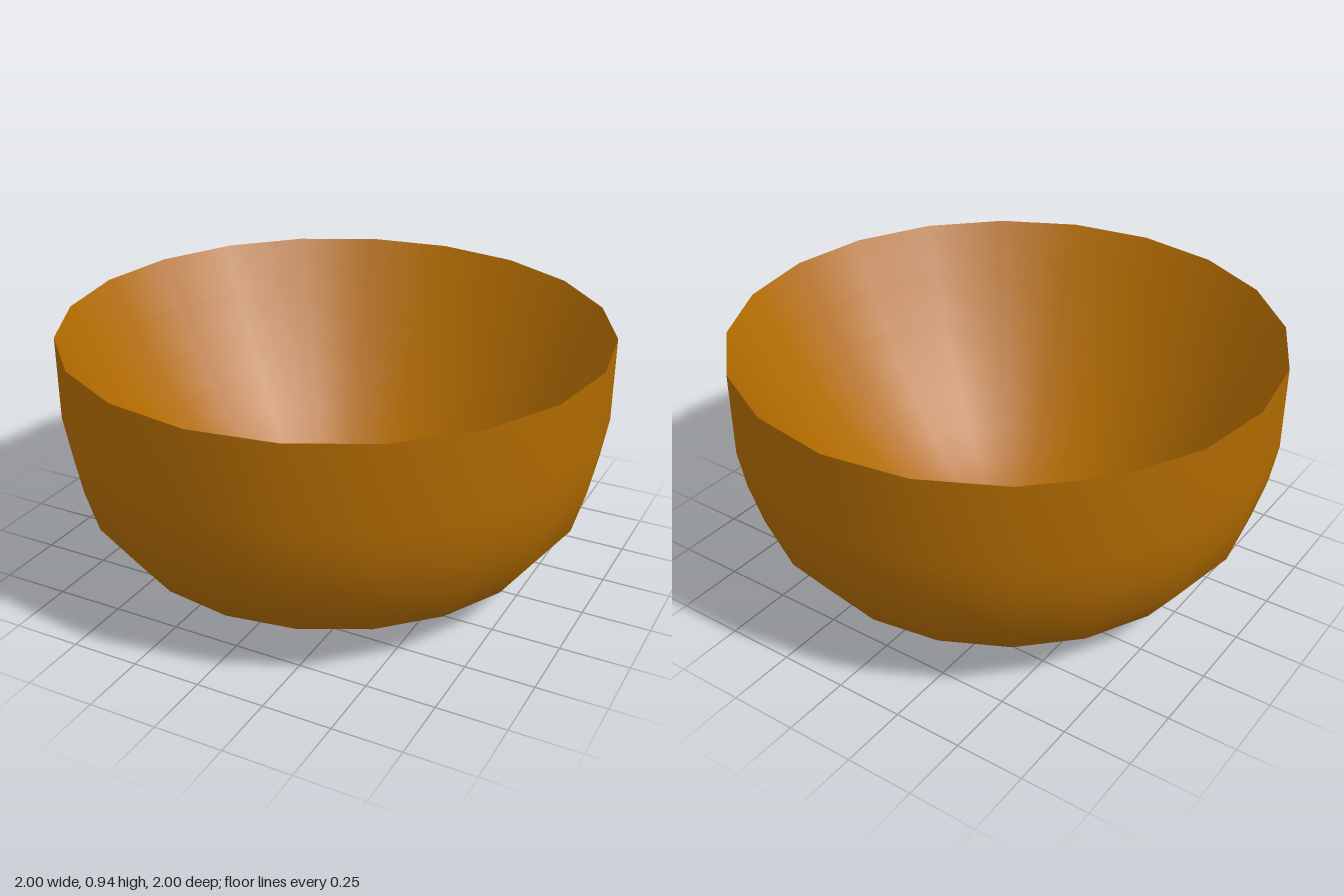
import * as THREE from 'three';

const SIDES = 20;
const HEIGHT = 0.94;
const RINGS = 10;

export function createModel() {
  const group = new THREE.Group();
  group.name = 'bowl';

  const material = new THREE.MeshStandardMaterial({ color: 0xb06a00, side: THREE.DoubleSide });

  const addPart = (name, geometry) => {
    const mesh = new THREE.Mesh(geometry, material);
    mesh.name = name;
    group.add(mesh);
    return mesh;
  };

  // Outer wall: rounded belly and straight upper band
  const outer = [
    [0.545, 0], [0.81, 0.16], [0.93, 0.32], [0.975, 0.48], [1, 0.63], [1, HEIGHT],
  ].map(([r, y]) => new THREE.Vector2(r, y));
  addPart('outerWall', new THREE.LatheGeometry(outer, SIDES));

  // Hollow: parabolic dish from the sharp rim down to the centre, facing inward
  const inner = [];
  for (let i = RINGS; i >= 0; i--) {
    const r = i / RINGS;
    inner.push(new THREE.Vector2(r, 0.02 + (HEIGHT - 0.02) * r * r));
  }
  addPart('innerHollow', new THREE.LatheGeometry(inner, SIDES));

  // Flat underside the bowl stands on
  const base = addPart('base', new THREE.CircleGeometry(0.545, SIDES));
  base.rotation.x = Math.PI / 2;

  return group;
}
